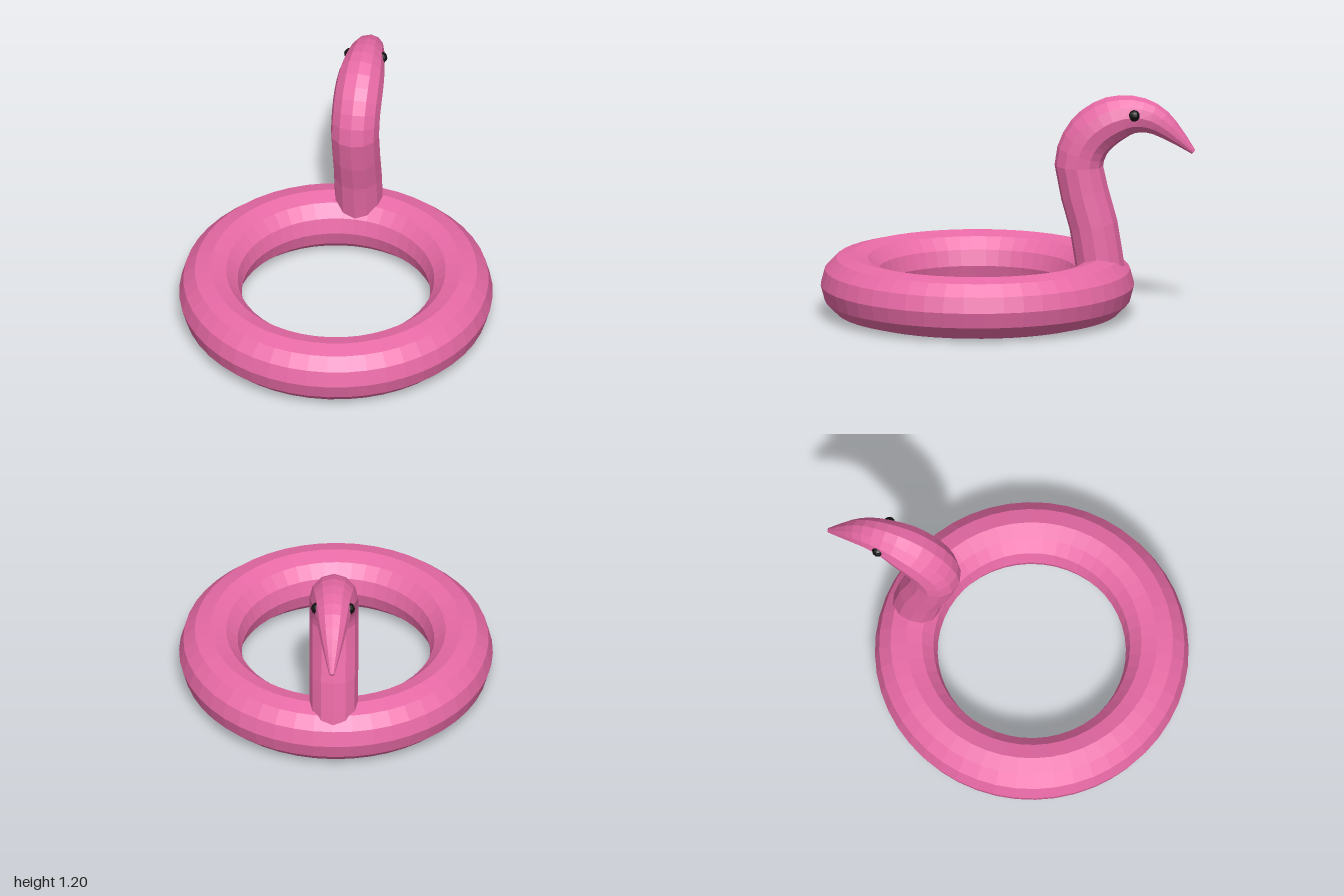
import * as THREE from 'three';

const SIDES = 12;
const ROWS = 18;

// Neck and head stations: [radius, y, z]
const STATIONS = [
  [0.13, 0.17, -0.505], [0.13, 0.5, -0.455], [0.13, 0.82, -0.377], [0.13, 0.94, -0.41],
  [0.13, 1.02, -0.475], [0.122, 1.078, -0.57], [0.102, 1.1, -0.67], [0.085, 1.083, -0.765],
  [0.06, 1.022, -0.86], [0.014, 0.903, -0.99],
];

// Tapering tube swept in the x = 0 plane, closed at both ends
function neckGeometry() {
  const curve = new THREE.CatmullRomCurve3(STATIONS.map((s) => new THREE.Vector3(...s)));
  const positions = [];
  const index = [];
  const addRing = (t, scale) => {
    const { x: r, y, z } = curve.getPoint(t);
    const d = curve.getTangent(t);
    const len = Math.hypot(d.y, d.z);
    for (let j = 0; j < SIDES; j++) {
      const a = (j / SIDES) * Math.PI * 2;
      const u = r * scale * Math.cos(a);
      const v = (r * scale * Math.sin(a)) / len;
      positions.push(u, y + v * d.z, z - v * d.y);
    }
  };
  addRing(0, 0);
  for (let i = 0; i <= ROWS; i++) addRing(i / ROWS, 1);
  addRing(1, 0);
  for (let i = 0; i < ROWS + 2; i++) {
    for (let j = 0; j < SIDES; j++) {
      const a = i * SIDES + j;
      const b = i * SIDES + ((j + 1) % SIDES);
      // The end caps need only one triangle per side
      if (i < ROWS + 1) index.push(b, b + SIDES, a + SIDES);
      if (i > 0) index.push(a, b, a + SIDES);
    }
  }
  const geometry = new THREE.BufferGeometry();
  geometry.setAttribute('position', new THREE.Float32BufferAttribute(positions, 3));
  geometry.setIndex(index);
  const flat = geometry.toNonIndexed();
  flat.computeVertexNormals();
  return flat;
}

export function createModel() {
  const group = new THREE.Group();
  const pink = new THREE.MeshStandardMaterial({ color: 0xe86aa6, flatShading: true });
  const black = new THREE.MeshStandardMaterial({ color: 0x111111, flatShading: true });
  const add = (name, geometry, material) => {
    const mesh = new THREE.Mesh(geometry, material);
    mesh.name = name;
    group.add(mesh);
    return mesh;
  };

  // Inflatable ring lying on the ground
  const ring = add('ring', new THREE.TorusGeometry(0.668, 0.167, 12, 48).rotateX(Math.PI / 2), pink);
  ring.position.set(0, 0.167, 0.165);

  // Curved neck running into the head and beak
  add('neckAndHead', neckGeometry(), pink);

  // Eyes on both sides of the head
  for (const side of [1, -1]) {
    const eye = add(side > 0 ? 'leftEye' : 'rightEye', new THREE.SphereGeometry(0.032, 10, 8), black);
    eye.position.set(side * 0.085, 1.11, -0.68);
  }
  return group;
}
